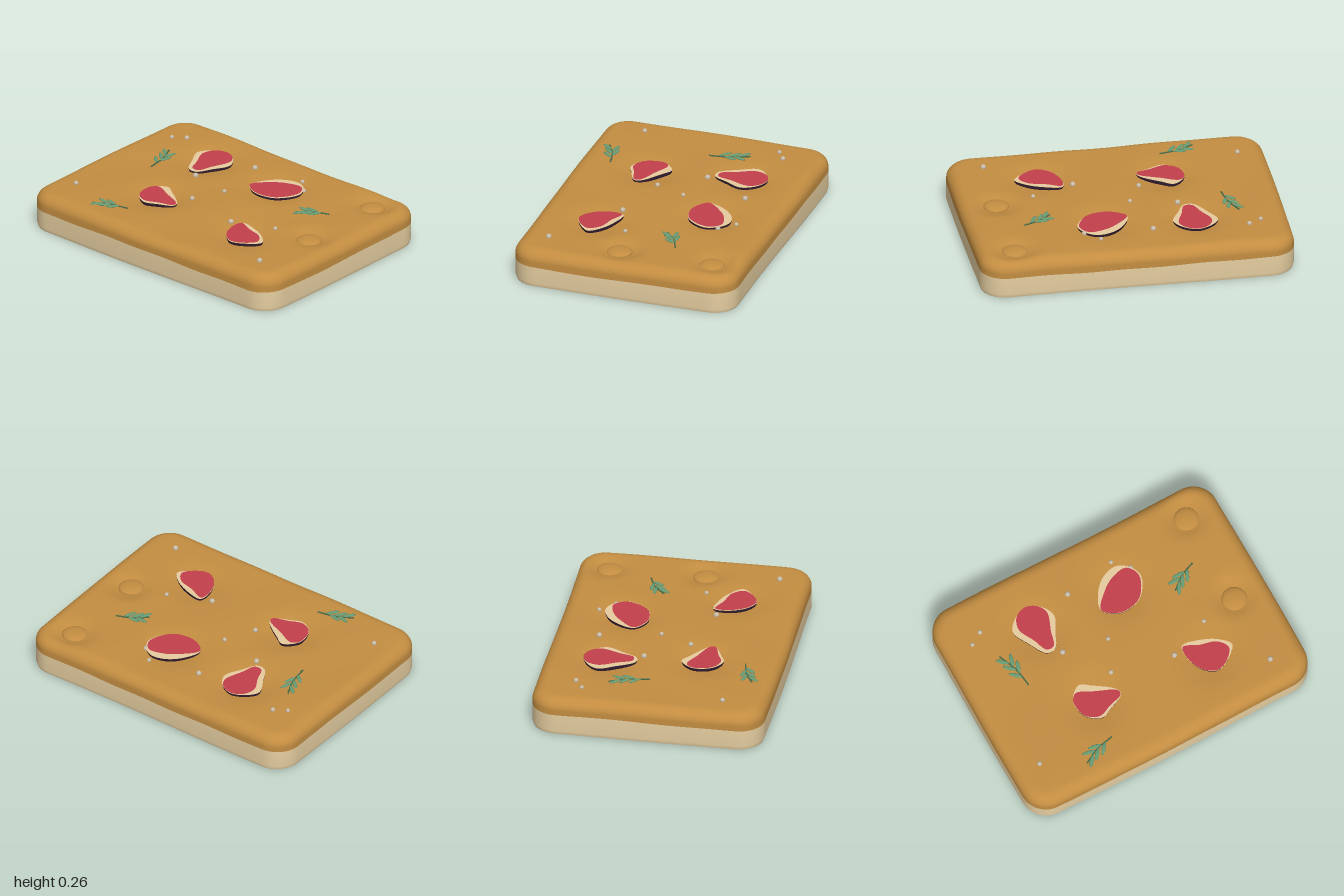
import * as THREE from 'three';

const mat = (name, color) => new THREE.MeshStandardMaterial({ name, color, side: THREE.DoubleSide });

// each slice of fruit: outer rim and red flesh as [x, z] points, clockwise from above
const FIGS = [
  { c: [-0.41, -0.33],
    rim: [[-.41, -.49], [-.32, -.45], [-.27, -.36], [-.32, -.25], [-.37, -.16], [-.43, -.16], [-.5, -.27], [-.55, -.38], [-.5, -.45]],
    flesh: [[-.41, -.49], [-.34, -.465], [-.3, -.4], [-.34, -.27], [-.37, -.18], [-.42, -.18], [-.46, -.27], [-.51, -.38], [-.48, -.46]] },
  { c: [0.17, -0.31],
    rim: [[0, -.25], [.05, -.37], [.13, -.44], [.22, -.46], [.29, -.42], [.33, -.33], [.25, -.2], [.14, -.17], [.06, -.19]],
    flesh: [[.002, -.248], [.08, -.345], [.16, -.4], [.27, -.42], [.32, -.34], [.25, -.205], [.14, -.172], [.06, -.192]] },
  { c: [-0.32, 0.25],
    rim: [[-.44, .2], [-.36, .12], [-.29, .16], [-.16, .26], [-.155, .3], [-.25, .35], [-.33, .38], [-.42, .32]],
    flesh: [[-.44, .2], [-.4, .16], [-.29, .205], [-.16, .268], [-.158, .3], [-.25, .333], [-.34, .365], [-.42, .318]] },
  { c: [0.46, 0.33],
    rim: [[.33, .2], [.45, .22], [.55, .27], [.61, .34], [.53, .42], [.45, .45], [.37, .4], [.32, .29]],
    flesh: [[.33, .21], [.43, .248], [.535, .28], [.582, .35], [.525, .42], [.45, .448], [.37, .4], [.321, .29]] },
];
const BUBBLES = [[0.76, -0.53], [0.77, 0.075]];
const SALT = [[-.81, -.43], [-.73, -.48], [-.13, -.44], [.21, -.5], [.3, -.41], [-.34, -.12], [-.05, -.06],
  [-.14, .14], [.26, .23], [.53, .12], [-.82, .46], [.77, .54]];

// height of the baked top: gentle waves with a hollow under every topping
function topHeight(x, z) {
  let y = 0.24 + 0.004 * Math.sin(5 * x + 1.5) * Math.cos(4 * z) + 0.002 * Math.sin(11 * x + 7 * z);
  const hollow = (cx, cz, depth, r) => {
    y -= depth * Math.exp(-Math.pow(Math.hypot(x - cx, z - cz) / r, 3));
  };
  FIGS.forEach(f => hollow(f.c[0], f.c[1], 0.024, 0.18));
  BUBBLES.forEach(b => hollow(b[0], b[1] - 0.02, 0.03, 0.12));
  return y;
}

// closed rounded rectangle, pulled in by an inset
function outline(inset) {
  const pts = [], r = 0.16 - inset, hx = 0.99 - inset - r, hz = 0.73 - inset - r;
  const signs = [[1, 1], [-1, 1], [-1, -1], [1, -1]], edge = 44, arc = 10;
  signs.forEach(([sx, sz], q) => {
    for (let i = 0; i <= arc; i++) {
      const a = (q + i / arc) * Math.PI / 2;
      pts.push([sx * hx + r * Math.cos(a), sz * hz + r * Math.sin(a)]);
    }
    const [nx, nz] = signs[(q + 1) % 4], a = (q + 1) * Math.PI / 2;
    for (let i = 1; i < edge; i++) {
      const t = i / edge;
      pts.push([THREE.MathUtils.lerp(sx, nx, t) * hx + r * Math.cos(a), THREE.MathUtils.lerp(sz, nz, t) * hz + r * Math.sin(a)]);
    }
  });
  // slightly uneven hand-shaped edges
  return pts.map(([x, z]) => [x * (1.005 + 0.005 * Math.sin(3 * z + 1)),
    z * (1.003 + 0.007 * Math.sin(3.2 * x + (z > 0 ? 2.2 : 3.6)))]);
}

// skin between closed rings listed from bottom to top
function loft(rings) {
  const n = rings[0].length, idx = [];
  for (let k = 0; k < rings.length - 1; k++) {
    for (let i = 0; i < n; i++) {
      const a = k * n + i, b = k * n + (i + 1) % n;
      idx.push(a, a + n, b, b, a + n, b + n);
    }
  }
  const g = new THREE.BufferGeometry();
  g.setAttribute('position', new THREE.Float32BufferAttribute(rings.flat(2), 3));
  g.setIndex(idx);
  g.computeVertexNormals();
  return g;
}

const smooth = pts => new THREE.CatmullRomCurve3(
  pts.map(([x, z]) => new THREE.Vector3(x, 0, z)), true, 'centripetal').getPoints(48).slice(0, -1);

const plate = pts => new THREE.ShapeGeometry(
  new THREE.Shape(smooth(pts).map(p => new THREE.Vector2(p.x, -p.z)))).rotateX(-Math.PI / 2);

export function createModel() {
  const model = new THREE.Group();
  model.name = 'toppedFlatbread';
  const crust = mat('golden crust', 0xc38d41), crumb = mat('pale crumb', 0xe6cea0);
  const skin = mat('dark purple skin', 0x352036), rimMat = mat('cream rim', 0xe6cb9e);
  const flesh = mat('red flesh', 0xc23f4b), leafMat = mat('leaf green', 0x689c74);
  const stemMat = mat('stem green', 0x486f4c), saltMat = mat('salt', 0xcbbfab);
  const dark = mat('dark olive', 0x51421a);
  const add = (parent, name, geo, material) => {
    const m = new THREE.Mesh(geo, material);
    m.name = name;
    parent.add(m);
    return m;
  };
  const flatBall = (name, material, r, squash, x, y, z) => {
    const b = add(model, name, new THREE.SphereGeometry(r, 32, 16), material);
    b.scale.y = squash;
    b.position.set(x, y, z);
  };

  // open-bottomed pale wall up to a wavy seam
  const seam = (x, z) => 0.134 + 0.004 * Math.sin(4 * x + 3 * z) + 0.002 * Math.sin(13 * x - 9 * z);
  const wall = outline(0), foot = outline(0.008);
  add(model, 'crumbWall', loft([
    foot.map(([x, z]) => [x, 0, z]),
    wall.map(([x, z]) => [x, 0.025, z]),
    wall.map(([x, z]) => [x, seam(x, z), z]),
  ]), crumb);

  // crust: upper wall, rounded shoulder, then the hollowed top
  const rings = [wall.map(([x, z]) => [x, seam(x, z), z])];
  for (let k = 0; k <= 9; k++) {
    const a = k / 9 * Math.PI / 2, inset = 0.085 * (1 - Math.cos(a));
    rings.push(outline(inset).map(([x, z]) => [x, 0.168 + (topHeight(x, z) - 0.168) * Math.sin(a), z]));
  }
  const inner = outline(0.085);
  for (let k = 1; k <= 44; k++) {
    const s = 1 - k / 44;
    rings.push(inner.map(([x, z]) => [x * s, topHeight(x * s, z * s), z * s]));
  }
  add(model, 'crust', loft(rings), crust);

  // halved fruit set into the hollows, over a dark pocket
  FIGS.forEach(f => {
    const fig = new THREE.Group();
    fig.name = 'fruitSlice';
    const edge = smooth(f.rim), shell = [];
    for (let k = 0; k <= 8; k++) {
      const a = k / 8 * Math.PI / 2, s = Math.sin(a);
      shell.push(edge.map(p => [f.c[0] + (p.x - f.c[0]) * s, 0.243 - 0.073 * Math.cos(a), f.c[1] + (p.z - f.c[1]) * s]));
    }
    add(fig, 'fruitSkin', loft(shell), skin);
    add(fig, 'fruitRim', plate(f.rim), rimMat).position.y = 0.244;
    add(fig, 'fruitFlesh', plate(f.flesh), flesh).position.y = 0.248;
    model.add(fig);
    flatBall('fruitPocket', dark, 0.11, 0.3, f.c[0], 0.188, f.c[1]);
  });

  // crust bubbles with dark undersides
  BUBBLES.forEach(([x, z]) => {
    flatBall('crustBubble', crust, 0.08, 0.3, x, 0.215, z);
    flatBall('bubblePocket', dark, 0.076, 0.35, x, 0.195, z);
  });

  // herb sprigs: [base x, base z, tip x, tip z]
  [[-.63, -.03, -.7, -.28], [.65, -.25, .47, -.14], [-.34, .52, -.56, .6]].forEach(([x, z, tx, tz]) => {
    const sprig = new THREE.Group(), len = Math.hypot(tx - x, tz - z);
    sprig.name = 'herbSprig';
    const path = new THREE.CatmullRomCurve3([0, 0.5, 1].map(t =>
      new THREE.Vector3(t * len, 0, 0.015 * Math.sin(t * Math.PI))));
    add(sprig, 'sprigStem', new THREE.TubeGeometry(path, 12, 0.005, 6), stemMat);
    for (let i = 0; i < 5; i++) {
      const a = i % 2 ? 0.55 : -0.55, p = path.getPoint(0.24 + i * 0.115);
      const leaf = add(sprig, 'sprigLeaf', new THREE.SphereGeometry(1, 10, 6), leafMat);
      leaf.scale.set(0.045, 0.006, 0.013);
      leaf.position.set(p.x + 0.045 * Math.cos(a), 0.004, p.z + 0.045 * Math.sin(a));
      leaf.rotation.y = -a;
    }
    sprig.position.set(x, 0.006 + Math.max(topHeight(x, z), topHeight(tx, tz)), z);
    sprig.rotation.y = -Math.atan2(tz - z, tx - x);
    model.add(sprig);
  });

  // salt grains
  SALT.forEach(([x, z], i) => {
    const s = add(model, 'saltGrain', new THREE.IcosahedronGeometry(0.014 + 0.002 * (i % 3), 1), saltMat);
    s.position.set(x, topHeight(x, z) + 0.005, z);
  });
  return model;
}
